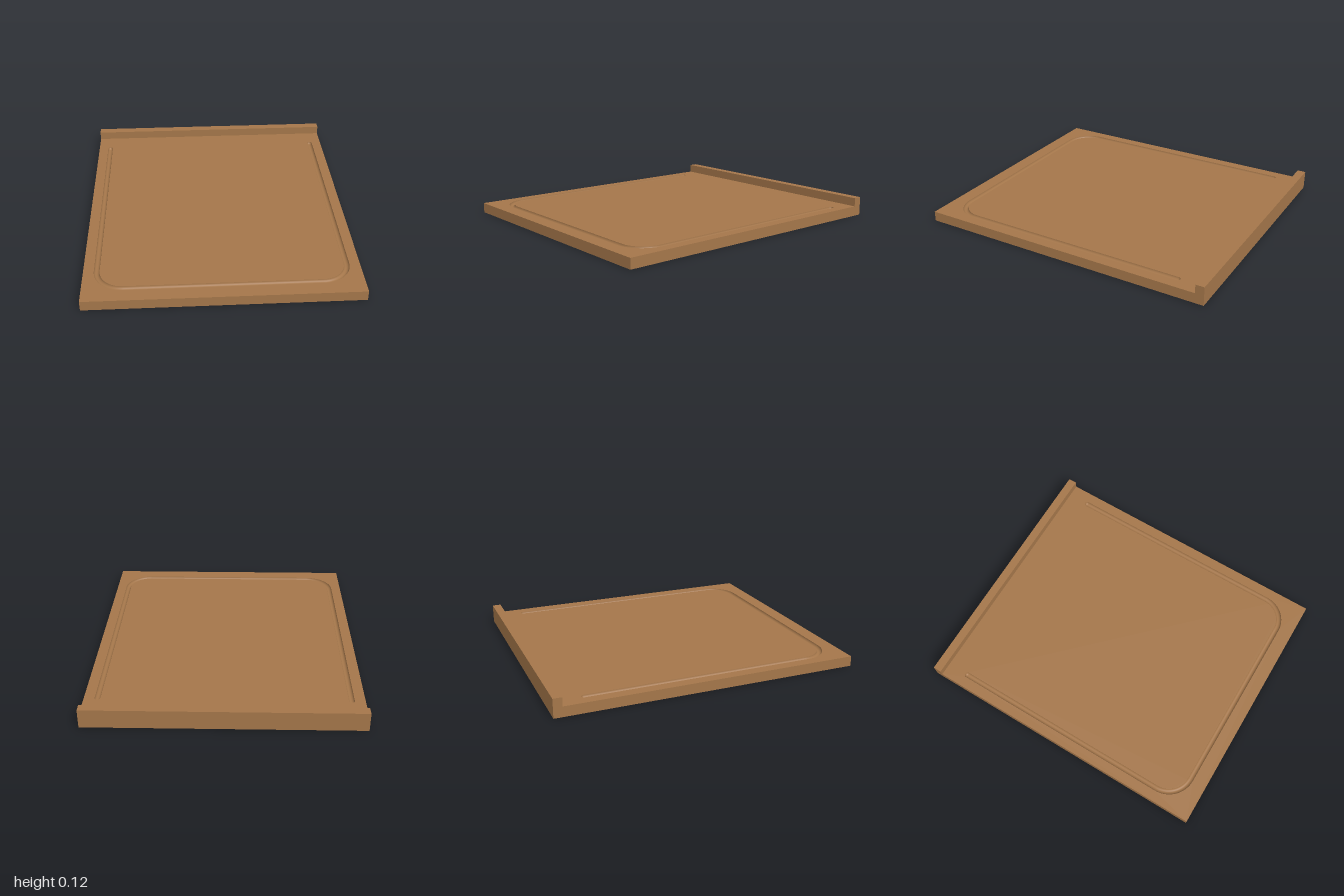
import * as THREE from 'three';
import { mergeGeometries } from 'three/addons/utils/BufferGeometryUtils.js';

const W = 0.87;       // half width
const DECK = 0.067;   // height of the cutting surface
const LIP = 0.125;    // height of the back lip
const LIP_Z = -0.943; // front face of the lip
const R = 0.018;      // groove radius

// Grid of points (rows x cols) to an indexed geometry with smooth normals
function gridGeometry(rows) {
  const cols = rows[0].length, index = [];
  for (let i = 0; i < rows.length - 1; i++) {
    for (let j = 0; j < cols - 1; j++) {
      const a = i * cols + j, b = a + cols;
      index.push(a, a + 1, b, a + 1, b + 1, b);
    }
  }
  const geometry = new THREE.BufferGeometry().setFromPoints(rows.flat());
  geometry.setIndex(index);
  geometry.computeVertexNormals();
  return geometry;
}

// Stations along the U-shaped groove: centre, direction and section scale
function grooveStations() {
  const cx = 0.785, endZ = -0.79, frontZ = 0.888, bend = 0.167;
  const stations = [];
  const add = (x, z, dx, dz, k = 1) => stations.push({ x, z, dx, dz, k });
  const capSteps = 8, bendSteps = 16;
  // rounded end at the left of the top view
  for (let i = 0; i <= capSteps; i++) {
    const t = (1 - i / capSteps) * Math.PI / 2;
    add(-cx, endZ - R * Math.sin(t), 0, 1, Math.max(Math.cos(t), 0.02));
  }
  // two rounded front corners
  for (const side of [-1, 1]) {
    for (let i = 0; i <= bendSteps; i++) {
      const t = (side < 0 ? i / bendSteps : 1 - i / bendSteps) * Math.PI / 2;
      add(side * (cx - bend + bend * Math.cos(t)), frontZ - bend + bend * Math.sin(t),
        Math.sin(t), -side * Math.cos(t));
    }
  }
  // rounded end on the other side
  for (let i = 0; i <= capSteps; i++) {
    const t = i / capSteps * Math.PI / 2;
    add(cx, endZ - R * Math.sin(t), 0, -1, Math.max(Math.cos(t), 0.02));
  }
  return stations;
}

// Underside, edges and back lip: an L profile carried across the width, open at the deck
function bodyGeometry() {
  const profile = [[1, 0], [1, DECK], [LIP_Z, DECK], [LIP_Z, LIP], [-1, LIP], [-1, 0]];
  const parts = [];
  profile.forEach(([z0, y0], i) => {
    if (i === 1) return; // the deck is a separate surface
    const [z1, y1] = profile[(i + 1) % profile.length];
    parts.push(gridGeometry([
      [new THREE.Vector3(-W, y0, z0), new THREE.Vector3(W, y0, z0)],
      [new THREE.Vector3(-W, y1, z1), new THREE.Vector3(W, y1, z1)],
    ]));
  });
  for (const side of [-1, 1]) {
    const shape = new THREE.Shape(profile.map(([z, y]) => new THREE.Vector2(-side * z, y)));
    const end = new THREE.ShapeGeometry(shape);
    end.rotateY(side * Math.PI / 2).translate(side * W, 0, 0);
    end.deleteAttribute('uv');
    parts.push(end);
  }
  return mergeGeometries(parts);
}

export function createModel() {
  const model = new THREE.Group();
  model.name = 'cuttingBoard';
  const wood = new THREE.MeshStandardMaterial({ color: 0xa4764a });
  wood.name = 'warm wood';

  const addMesh = (name, geometry) => {
    const mesh = new THREE.Mesh(geometry, wood);
    mesh.name = name;
    model.add(mesh);
  };

  addMesh('boardBodyAndBackLip', bodyGeometry());

  // Groove: half-round channel swept along the stations
  const stations = grooveStations();
  const sections = stations.map(({ x, z, dx, dz, k }) => {
    const row = [];
    for (let j = 0; j <= 12; j++) {
      const a = j / 12 * Math.PI, s = R * k * Math.cos(a);
      row.push(new THREE.Vector3(x + dz * s, DECK - R * k * Math.sin(a), z - dx * s));
    }
    return row;
  });
  addMesh('juiceGroove', gridGeometry(sections));

  // Deck: flat top with the groove cut out
  const deck = new THREE.Shape([
    new THREE.Vector2(-W, -1), new THREE.Vector2(W, -1),
    new THREE.Vector2(W, -LIP_Z), new THREE.Vector2(-W, -LIP_Z),
  ]);
  const flat = (p) => new THREE.Vector2(p.x, -p.z);
  const inner = sections.map((row) => flat(row[0]));
  const outer = sections.map((row) => flat(row[row.length - 1])).reverse();
  deck.holes.push(new THREE.Path([...inner, ...outer]));
  const deckGeometry = new THREE.ShapeGeometry(deck);
  deckGeometry.rotateX(-Math.PI / 2).translate(0, DECK, 0);
  addMesh('cuttingSurface', deckGeometry);

  return model;
}
